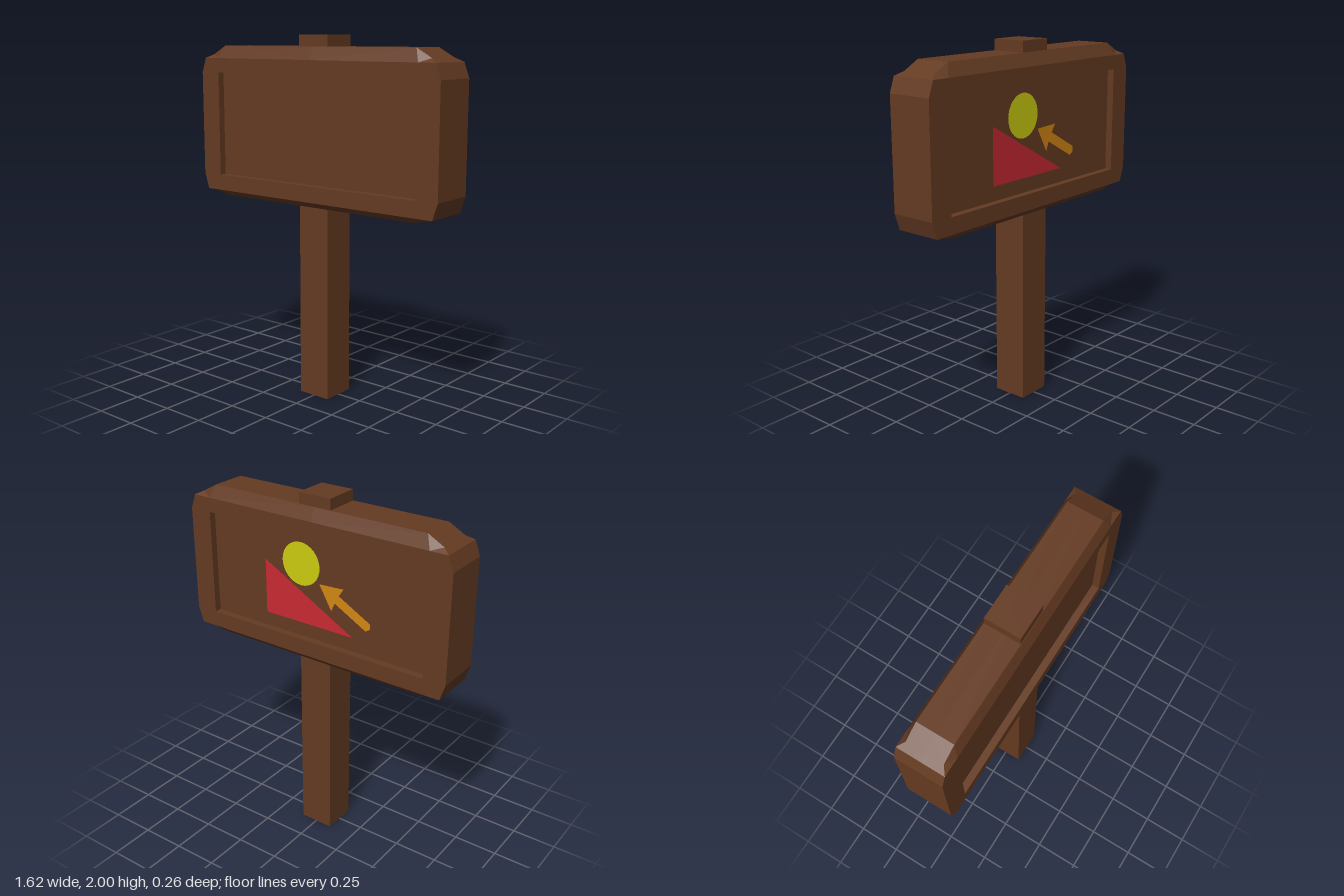
import * as THREE from 'three';

const flat = (name, color) => {
  const m = new THREE.MeshStandardMaterial({ color });
  m.name = name;
  return m;
};

// Bevelled cap with clipped corners, sitting on y = 0 and mirrored in x and z
function capGeometry(h) {
  const T = [0.65, h, 0.1], A = [0.68, 0, 0.13], O = [0.78, 0, 0.13], I = [0.74, h * 0.3, 0.1];
  const midX = p => [0, p[1], p[2]];
  const midZ = p => [p[0], p[1], 0];
  const faces = [
    [T, A, I], [A, O, I],                  // corner
    [T, I, midZ(I), midZ(T)],              // end slope
    [I, O, midZ(O), midZ(I)],              // end lip
    [midX(A), A, T, midX(T)],              // long bevel
    [midX(T), T, midZ(T), [0, h, 0]],      // top
  ];
  const pos = [];
  for (const sx of [1, -1]) for (const sz of [1, -1]) for (const face of faces) {
    const f = sx * sz > 0 ? face : [...face].reverse();
    for (let i = 1; i < f.length - 1; i++)
      for (const p of [f[0], f[i], f[i + 1]]) pos.push(p[0] * sx, p[1], p[2] * sz);
  }
  const g = new THREE.BufferGeometry();
  g.setAttribute('position', new THREE.Float32BufferAttribute(pos, 3));
  g.computeVertexNormals();
  return g;
}

export function createModel() {
  const group = new THREE.Group();
  const wood = flat('brown wood', 0x653b22);
  const red = flat('red paint', 0xc92a33);
  const yellow = flat('yellow paint', 0xcdcd10);
  const orange = flat('orange paint', 0xd38814);

  const add = (parent, name, geometry, material, x = 0, y = 0, z = 0) => {
    const mesh = new THREE.Mesh(geometry, material);
    mesh.name = name;
    mesh.position.set(x, y, z);
    parent.add(mesh);
    return mesh;
  };
  const shape = pts => new THREE.Shape(pts.map(p => new THREE.Vector2(...p)));

  // Post below the board and its stub above
  add(group, 'post', new THREE.BoxGeometry(0.195, 1.1, 0.195), wood, 0, 0.55, 0);
  add(group, 'postTop', new THREE.BoxGeometry(0.195, 0.1, 0.195), wood, 0, 1.95, 0);

  // Board frame with an opening, closed by a recessed panel
  const outline = shape([
    [-0.78, 1.11], [0.78, 1.11], [0.81, 1.2], [0.81, 1.79],
    [0.78, 1.87], [-0.78, 1.87], [-0.81, 1.79], [-0.81, 1.2],
  ]);
  outline.holes.push(shape([[-0.68, 1.2], [-0.68, 1.79], [0.68, 1.79], [0.68, 1.2]]));
  add(group, 'boardFrame', new THREE.ExtrudeGeometry(outline, { depth: 0.26, bevelEnabled: false }),
    wood, 0, 0, -0.13);
  add(group, 'recessedPanel', new THREE.BoxGeometry(1.38, 0.61, 0.18), wood, 0, 1.495, 0);

  // Bevelled top and bottom of the board
  add(group, 'topCap', capGeometry(0.07), wood, 0, 1.87, 0);
  add(group, 'bottomCap', capGeometry(0.03), wood, 0, 1.11, 0).rotation.x = Math.PI;

  // Painted picture on the back panel
  const picture = new THREE.Group();
  picture.name = 'backPicture';
  picture.rotation.y = Math.PI;
  picture.position.z = -0.093;
  group.add(picture);
  add(picture, 'redTriangle',
    new THREE.ShapeGeometry(shape([[-0.33, 1.28], [0.235, 1.28], [-0.33, 1.59]])), red);
  add(picture, 'yellowDisc', new THREE.CircleGeometry(0.12, 32), yellow, -0.093, 1.615, 0.001);

  // Arrow drawn with its tip at the origin, pointing up and to the left
  const arrow = shape([
    [0, 0], [0.13, -0.08], [0.125, -0.027], [0.345, -0.027],
    [0.36, 0], [0.345, 0.027], [0.125, 0.027], [0.13, 0.08],
  ]);
  add(picture, 'orangeArrow', new THREE.ShapeGeometry(arrow), orange, 0.026, 1.53, 0.002)
    .rotation.z = -0.5;

  return group;
}
